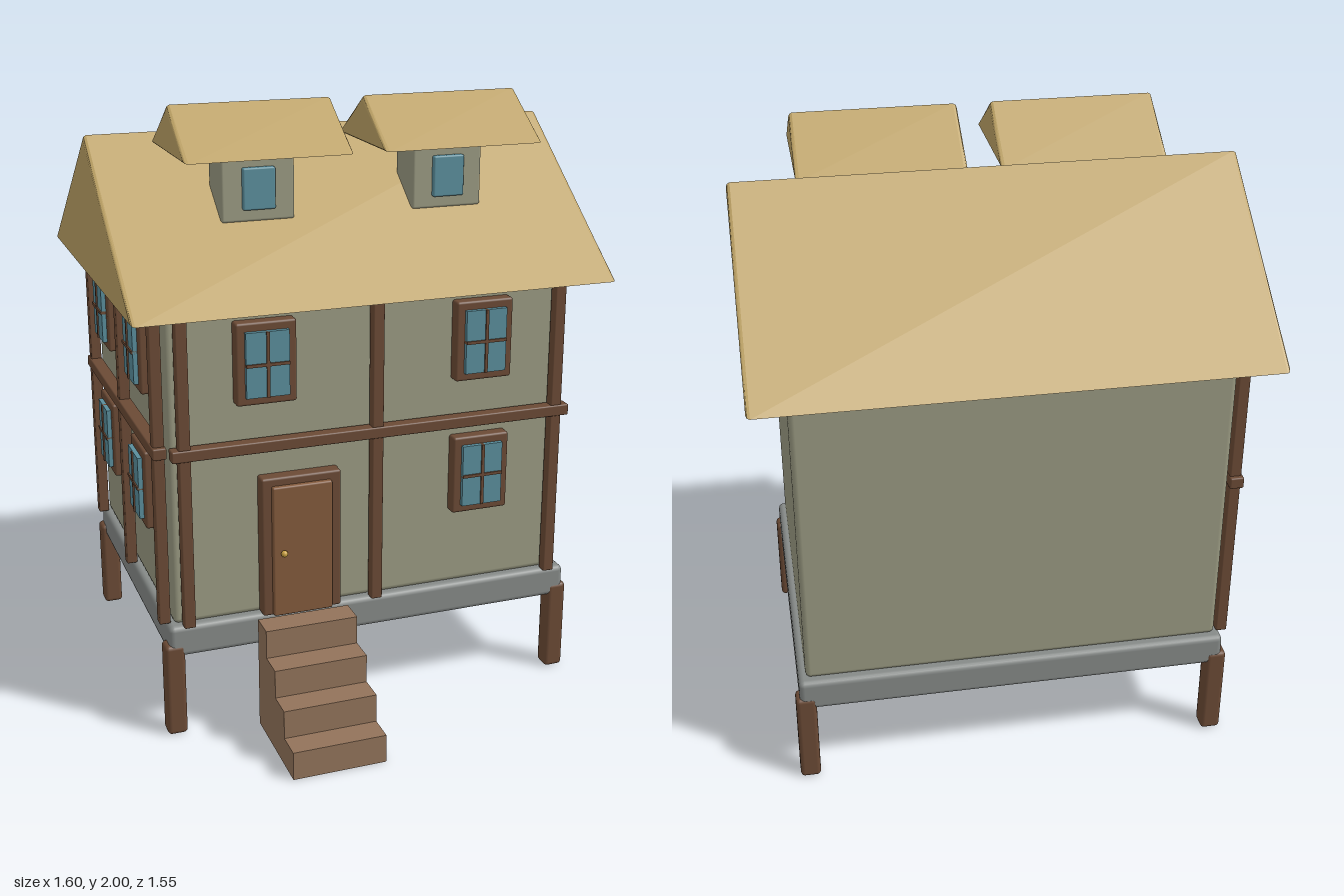
import * as THREE from 'three';
import { RoundedBoxGeometry } from 'three/addons/geometries/RoundedBoxGeometry.js';

const mat = (color) => new THREE.MeshStandardMaterial({ color });
const M = {
  wall: mat(0x9a9a82), roof: mat(0xbda265), wood: mat(0x6b4a35), door: mat(0x835a3c),
  step: mat(0x92735a), base: mat(0x868a88), glass: mat(0x5a8e9c), brass: mat(0xc9a040),
};

// Box given by its extents; r > 0 rounds the edges
function box(name, material, [x0, x1], [y0, y1], [z0, z1], r = 0) {
  const size = [x1 - x0, y1 - y0, z1 - z0];
  const geo = r ? new RoundedBoxGeometry(...size, 2, r) : new THREE.BoxGeometry(...size);
  const mesh = new THREE.Mesh(geo, material);
  mesh.name = name;
  mesh.position.set((x0 + x1) / 2, (y0 + y1) / 2, (z0 + z1) / 2);
  return mesh;
}

// Solid gable roof with its ridge along x and bevelled gable ends
function gable(name, [x0, x1], [y0, y1], [z0, z1]) {
  const b = 0.012, half = (z1 - z0) / 2;
  const shape = new THREE.Shape();
  shape.moveTo(-half, y0).lineTo(half, y0).lineTo(0, y1).closePath();
  const geo = new THREE.ExtrudeGeometry(shape, {
    depth: x1 - x0 - 2 * b, bevelThickness: b, bevelSize: b, bevelOffset: -b, bevelSegments: 2,
  });
  geo.rotateY(Math.PI / 2).translate(x0 + b, 0, (z0 + z1) / 2);
  const mesh = new THREE.Mesh(geo, M.roof);
  mesh.name = name;
  return mesh;
}

// Framed window facing +z, its back on z = 0
function framedWindow() {
  const g = new THREE.Group();
  g.name = 'window';
  g.add(
    box('windowFrame', M.wood, [-0.098, 0.098], [-0.133, 0.133], [-0.01, 0.04], 0.008),
    box('windowGlass', M.glass, [-0.07, 0.07], [-0.105, 0.105], [0, 0.055]),
    box('verticalMuntin', M.wood, [-0.005, 0.005], [-0.105, 0.105], [0.03, 0.06]),
    box('horizontalMuntin', M.wood, [-0.07, 0.07], [-0.005, 0.005], [0.03, 0.06]),
  );
  return g;
}

// Timber framing and windows for one wall, facing +z with its back on z = 0
function timberWall(name, postXs, beam, windows) {
  const g = new THREE.Group();
  g.name = name;
  for (const x of postXs)
    g.add(box('post', M.wood, [x - 0.019, x + 0.019], [0.385, 1.415], [0.008, 0.045], 0.005));
  g.add(box('beam', M.wood, beam, [0.953, 0.991], [0.005, 0.05], 0.005));
  for (const [x, y] of windows) {
    const w = framedWindow();
    w.position.set(x, y, 0);
    g.add(w);
  }
  return g;
}

export function createModel() {
  const house = new THREE.Group();
  house.name = 'house';

  // Stilts, platform and walls
  for (const x of [-0.685, 0.68])
    for (const z of [0.365, -0.655])
      house.add(box('stilt', M.wood, [x - 0.033, x + 0.033], [0, 0.32], [z - 0.033, z + 0.033], 0.014));
  house.add(
    box('platform', M.base, [-0.702, 0.7], [0.278, 0.385], [-0.685, 0.396], 0.018),
    box('walls', M.wall, [-0.68, 0.676], [0.383, 1.418], [-0.658, 0.37], 0.018),
    gable('mainRoof', [-0.8, 0.795], [1.415, 1.88], [-0.775, 0.478]),
  );

  // Timbered front and side
  const upper = 1.243, lower = 0.783;
  const front = timberWall('frontTimbers', [-0.638, -0.002, 0.632], [-0.68, 0.676],
    [[-0.37, upper], [0.364, upper], [0.364, lower]]);
  front.position.z = 0.37;
  const side = timberWall('sideTimbers', [-0.485, 0, 0.485], [-0.52, 0.52],
    [[-0.243, upper], [0.243, upper], [-0.243, lower], [0.243, lower]]);
  side.rotation.y = -Math.PI / 2;
  side.position.set(-0.68, 0, -0.145);
  house.add(front, side);

  // Front door
  const knob = new THREE.Mesh(new THREE.SphereGeometry(0.011, 16, 12), M.brass);
  knob.name = 'doorKnob';
  knob.position.set(-0.33, 0.61, 0.442);
  house.add(
    box('doorFrame', M.wood, [-0.395, -0.128], [0.385, 0.862], [0.36, 0.415], 0.008),
    box('door', M.door, [-0.363, -0.163], [0.388, 0.835], [0.37, 0.432], 0.006),
    knob,
  );

  // Solid steps, tallest against the door
  for (let i = 0; i < 4; i++)
    house.add(box('step', M.step, [-0.415, -0.106], [0, 0.095 * (4 - i)],
      [0.418 + i * 0.0893, 0.418 + (i + 1) * 0.0893]));

  // Dormers
  for (const x of [-0.321, 0.318]) {
    const dormer = new THREE.Group();
    dormer.name = 'dormer';
    dormer.add(
      box('dormerBody', M.wall, [-0.119, 0.119], [1.637, 1.857], [0.04, 0.186], 0.008),
      box('dormerWindow', M.glass, [-0.053, 0.053], [1.675, 1.808], [0.15, 0.202], 0.006),
      gable('dormerRoof', [-0.267, 0.267], [1.853, 2], [-0.107, 0.325]),
    );
    dormer.position.x = x;
    house.add(dormer);
  }
  return house;
}
